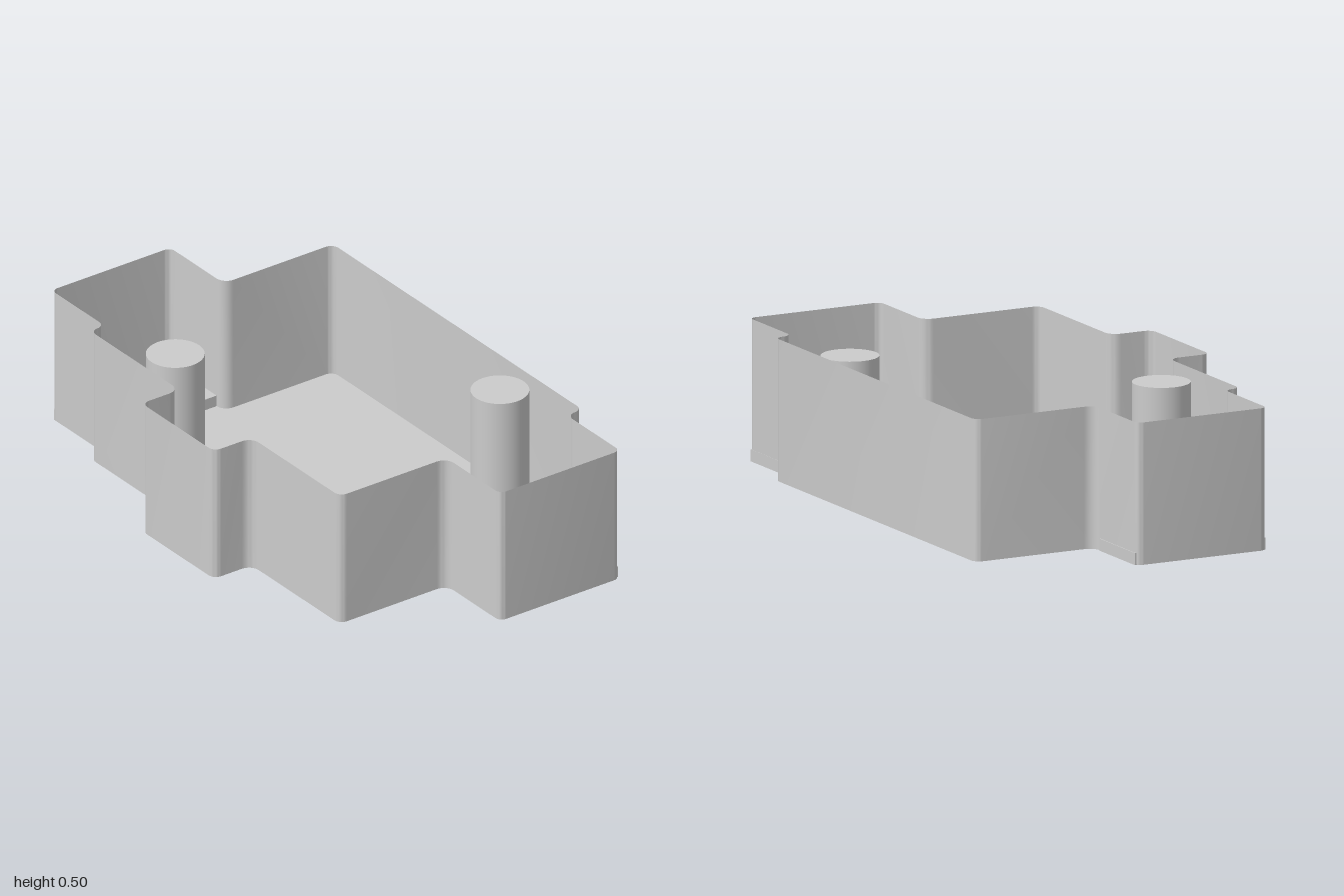
import * as THREE from 'three';
import { toCreasedNormals } from 'three/addons/utils/BufferGeometryUtils.js';

const FLOOR = 0.01, TOP = 0.495;

// Outline with rounded corners; each point is [x, z, radius].
function roundedShape(points) {
  const shape = new THREE.Shape();
  const n = points.length, k = 0.5523;
  const corners = points.map(([x, z, r], i) => {
    const c = new THREE.Vector2(x, z);
    const toward = ([px, pz]) => new THREE.Vector2(px, pz).sub(c).normalize();
    const dIn = toward(points[(i + n - 1) % n]), dOut = toward(points[(i + 1) % n]);
    const at = (d, s) => c.clone().addScaledVector(d, s);
    return { a: at(dIn, r), ca: at(dIn, r * (1 - k)), cb: at(dOut, r * (1 - k)), b: at(dOut, r) };
  });
  corners.forEach(({ a, ca, cb, b }, i) => {
    if (i === 0) shape.moveTo(a.x, a.y);
    else shape.lineTo(a.x, a.y);
    shape.bezierCurveTo(ca.x, ca.y, cb.x, cb.y, b.x, b.y);
  });
  shape.closePath();
  return shape;
}

// Open upright band that follows a closed outline.
function wallGeometry(points, y0, y1) {
  const pos = [], index = [];
  points.forEach((p) => pos.push(p.x, y0, p.y, p.x, y1, p.y));
  for (let i = 0; i < points.length - 1; i++) {
    const a = i * 2;
    index.push(a, a + 1, a + 2, a + 2, a + 1, a + 3);
  }
  const g = new THREE.BufferGeometry();
  g.setAttribute('position', new THREE.Float32BufferAttribute(pos, 3));
  g.setIndex(index);
  return toCreasedNormals(g, 0.5);
}

export function createModel() {
  const group = new THREE.Group();
  const solid = new THREE.MeshStandardMaterial({ color: 0xcccccc });
  const thin = new THREE.MeshStandardMaterial({ color: 0xcccccc, side: THREE.DoubleSide });
  const add = (name, geometry, material = solid) => {
    const mesh = new THREE.Mesh(geometry, material);
    mesh.name = name;
    group.add(mesh);
    return mesh;
  };

  // Tray outline: main body with a tab at the front and one on each side
  const r = 0.03, tab = 0.025, inner = 0.04;
  const outline = roundedShape([
    [-0.7, -0.58, r], [0.7, -0.58, r],
    [0.7, -0.515, 0.034], [1, -0.515, tab], [1, -0.02, tab], [0.7, -0.02, inner],
    [0.7, 0.42, r],
    [0.205, 0.42, inner], [0.205, 0.575, r], [-0.2, 0.575, r], [-0.2, 0.42, inner],
    [-0.7, 0.42, r],
    [-0.7, 0.36, 0.03], [-1, 0.36, tab], [-1, -0.13, tab], [-0.7, -0.13, inner],
  ]);
  const divisions = 8;
  const rim = outline.getPoints(divisions);
  if (rim[0].distanceTo(rim[rim.length - 1]) > 1e-6) rim.push(rim[0].clone());

  add('trayWall', wallGeometry(rim, FLOOR, TOP), thin);
  add('trayFloor', new THREE.ShapeGeometry(outline, divisions).rotateX(Math.PI / 2).translate(0, FLOOR, 0), thin);

  // C-shaped brackets lying on the floor of the side tabs, open toward the middle
  const bracketTop = 0.05;
  for (const [name, s, zMid] of [['leftBracket', 1, -0.27], ['rightBracket', -1, 0.113]]) {
    const c = new THREE.Shape([
      [0.74, -0.246], [0.988, -0.246], [0.988, 0.246], [0.74, 0.246],
      [0.74, 0.127], [0.892, 0.127], [0.892, -0.127], [0.74, -0.127],
    ].map(([x, z]) => new THREE.Vector2(s * x, z + zMid)));
    const g = new THREE.ExtrudeGeometry(c, { depth: bracketTop - FLOOR + 0.001, bevelEnabled: false });
    add(name, g.rotateX(Math.PI / 2).translate(0, bracketTop, 0));
  }

  // Upright round posts, ending just under the floor
  const postBottom = 0.006, postTop = 0.48;
  for (const [name, x, z] of [['frontPost', -0.43, 0.268], ['backPost', 0.407, -0.455]]) {
    const post = add(name, new THREE.CylinderGeometry(0.098, 0.098, postTop - postBottom, 48));
    post.position.set(x, (postTop + postBottom) / 2, z);
  }

  // Low rectangular pad in the middle, slightly proud underneath
  const pad = add('centerPad', new THREE.BoxGeometry(0.264, 0.05, 0.46));
  pad.position.set(0.014, 0.025, -0.042);

  return group;
}
